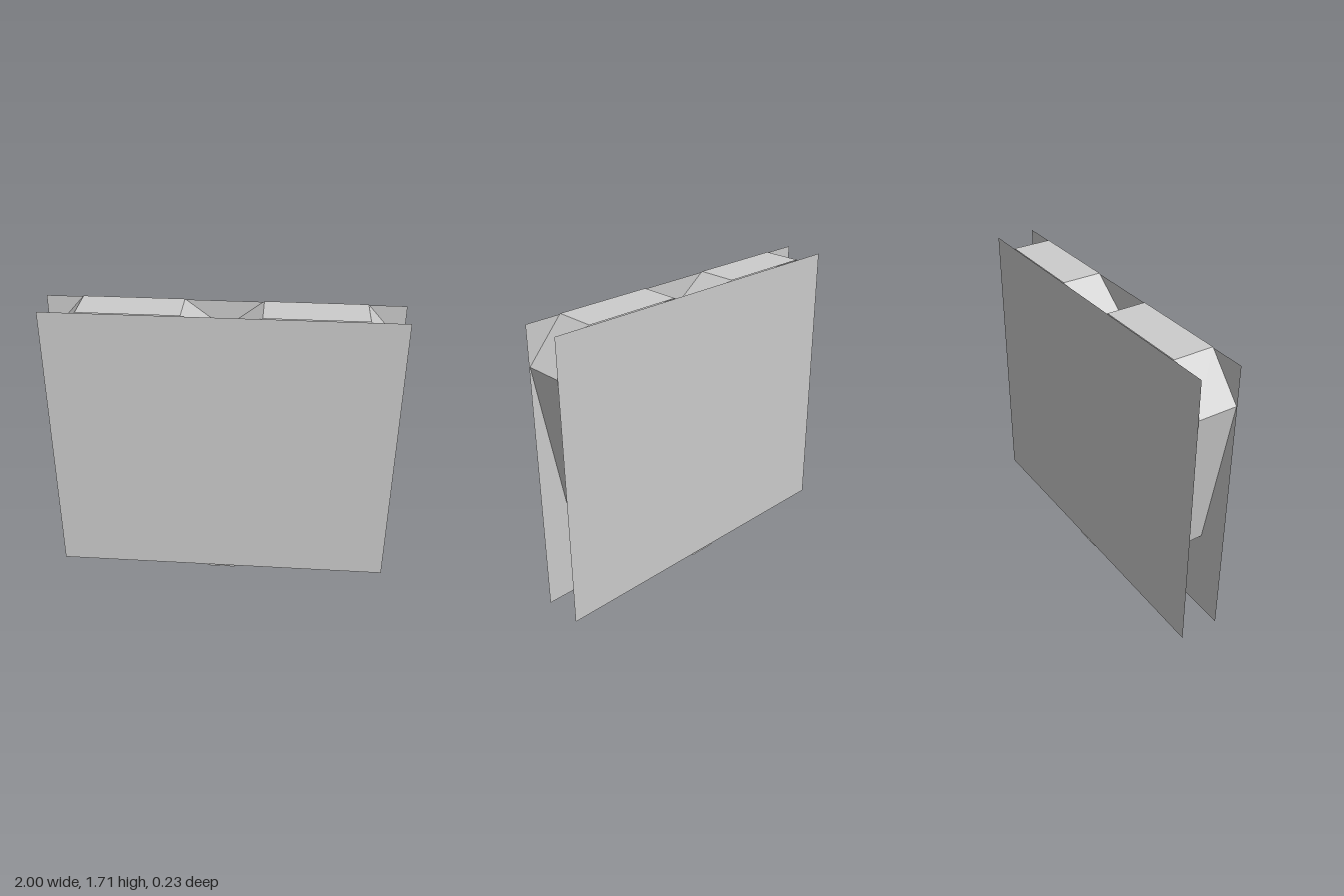
import * as THREE from 'three';

const HALF_DEPTH = 0.117;
const material = new THREE.MeshStandardMaterial({
  color: 0xcccccc, flatShading: true, side: THREE.DoubleSide,
});

// Right half of the angular heart outline, from the notch to the bottom tip
const half = [[0, 1.54], [0.22, 1.706], [0.79, 1.706], [0.995, 1.475], [0.82, 0.525], [0.08, 0]];

// Open band following the outline, one flat quad per side
function heartBand() {
  const mirrored = half.slice(1).reverse().map(([x, y]) => [-x, y]);
  const outline = [...half, ...mirrored];
  const positions = [];
  outline.forEach(([x0, y0], i) => {
    const [x1, y1] = outline[(i + 1) % outline.length];
    const d = HALF_DEPTH;
    positions.push(
      x0, y0, -d, x0, y0, d, x1, y1, d,
      x0, y0, -d, x1, y1, d, x1, y1, -d,
    );
  });
  const geometry = new THREE.BufferGeometry();
  geometry.setAttribute('position', new THREE.Float32BufferAttribute(positions, 3));
  geometry.computeVertexNormals();
  return geometry;
}

export function createModel() {
  const group = new THREE.Group();
  group.name = 'heartPanel';

  const band = new THREE.Mesh(heartBand(), material);
  band.name = 'heartRim';
  group.add(band);

  // Thin square-cornered panels covering the front and the back
  for (const side of [1, -1]) {
    const panel = new THREE.Mesh(new THREE.PlaneGeometry(2, 1.692), material);
    panel.name = side > 0 ? 'frontPanel' : 'backPanel';
    panel.position.set(0, 0.856, side * HALF_DEPTH);
    if (side < 0) panel.rotation.y = Math.PI;
    group.add(panel);
  }
  return group;
}
